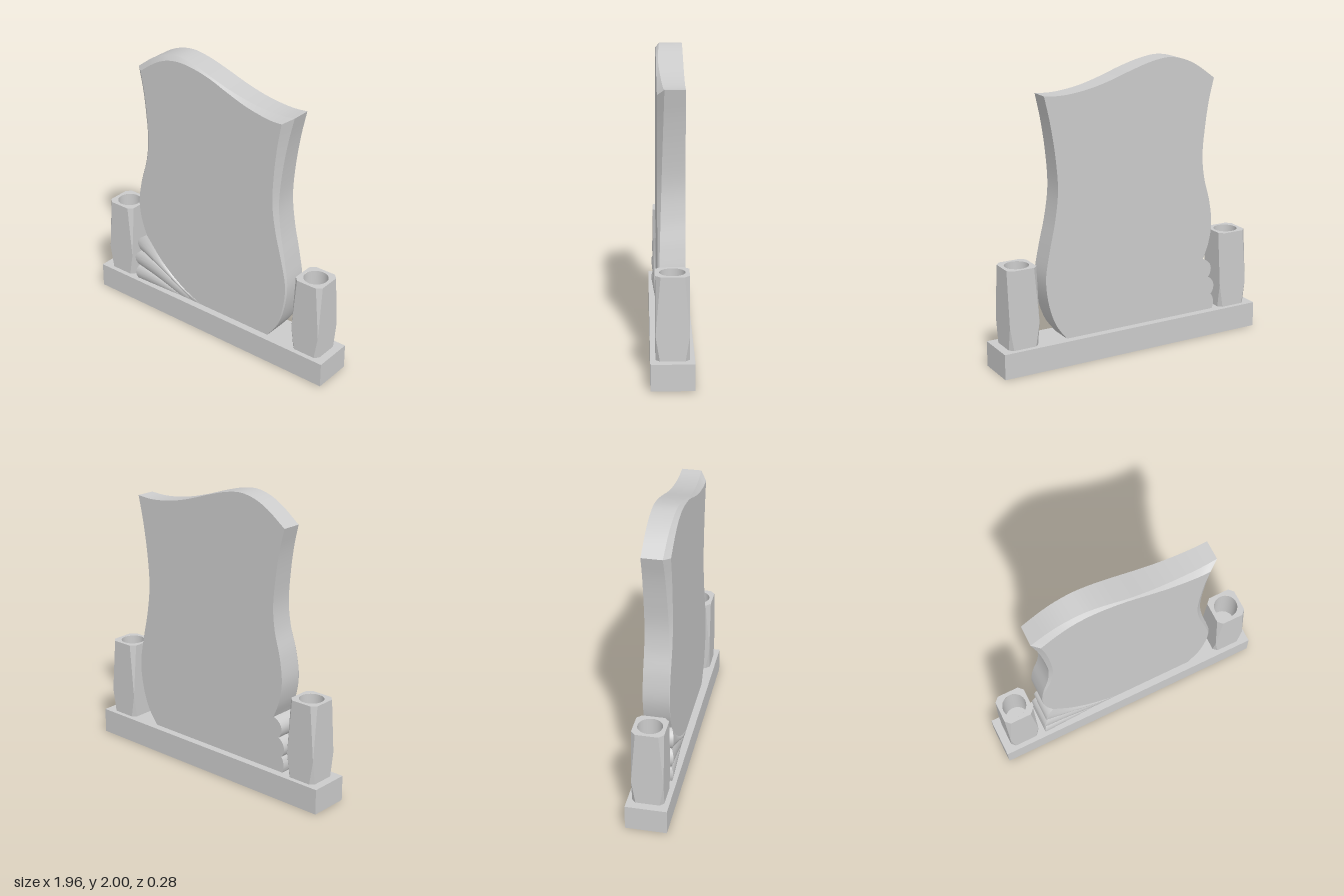
import * as THREE from 'three';
import { mergeGeometries, toCreasedNormals } from 'three/addons/utils/BufferGeometryUtils.js';

const stone = new THREE.MeshStandardMaterial({ color: 0xcccccc });
const stoneThin = new THREE.MeshStandardMaterial({ color: 0xcccccc, side: THREE.DoubleSide });
const V = (x, y, z) => new THREE.Vector3(x, y, z);

function addMesh(parent, name, geometry, material = stone) {
  const mesh = new THREE.Mesh(geometry, material);
  mesh.name = name;
  parent.add(mesh);
  return mesh;
}

// Skin a list of equally long rows of points
function loft(rows, closed) {
  const pos = [];
  const n = rows[0].length;
  for (let i = 0; i < rows.length - 1; i++) {
    for (let j = 0; j < (closed ? n : n - 1); j++) {
      const k = (j + 1) % n;
      const [a, b, c, d] = [rows[i][j], rows[i][k], rows[i + 1][k], rows[i + 1][j]];
      for (const p of [a, d, c, a, c, b]) pos.push(p.x, p.y, p.z);
    }
  }
  const g = new THREE.BufferGeometry();
  g.setAttribute('position', new THREE.Float32BufferAttribute(pos, 3));
  return g;
}

// Flat face filling an outline at depth z
function cap(points, z, facesBack) {
  const g = new THREE.ShapeGeometry(new THREE.Shape(points.map(p => new THREE.Vector2(p.x, p.y))));
  if (facesBack) g.index.array.reverse();
  g.translate(0, 0, z);
  const flat = g.toNonIndexed();
  flat.deleteAttribute('uv');
  flat.deleteAttribute('normal');
  return flat;
}

const spline = (pts, n) => new THREE.CatmullRomCurve3(pts.map(p => V(p[0], p[1], p[2] ?? FRONT))).getPoints(n);

const FRONT = 0.09, BACK = -0.088, BASE_TOP = 0.175;

// Seams between the flutes, lowest first, each running from the left rim to the foot
const seams = [
  [[-0.65, 0.165], [-0.53, 0.165], [-0.4, 0.165], [-0.3, 0.165]],
  [[-0.645, 0.285], [-0.5, 0.25], [-0.37, 0.21], [-0.25, 0.168]],
  [[-0.62, 0.415], [-0.45, 0.335], [-0.29, 0.245], [-0.15, 0.168]],
  [[-0.575, 0.55], [-0.43, 0.385], [-0.25, 0.25], [-0.07, 0.17]],
];
const seamLift = [0.008, 0.008, 0.008, 0];
const rimBulge = [0.02, 0.035, 0.045];
const ACROSS = 14, ALONG = 24;

// Cross-section of flute k at t (0 = rim, 1 = foot)
function fluteRow(k, t, lower, upper) {
  const row = [];
  const chord = upper.clone().sub(lower);
  const out = V(-chord.y, chord.x, 0).normalize();
  for (let j = 0; j <= ACROSS; j++) {
    const s = j / ACROSS;
    const arch = Math.pow(Math.max(0, Math.sin(Math.PI * s)), 0.7);
    const p = lower.clone().lerp(upper, s).addScaledVector(out, rimBulge[k] * arch * (1 - t) ** 3);
    p.z = FRONT + (1 - t) * (THREE.MathUtils.lerp(seamLift[k], seamLift[k + 1], s) + 0.021 * arch);
    row.push(p);
  }
  return row;
}

function buildFlutes() {
  const group = new THREE.Group();
  group.name = 'shellFlutes';
  const curves = seams.map(s => spline(s, ALONG));
  const rim = [];
  for (let k = 0; k < 3; k++) {
    const rows = [];
    for (let i = 0; i <= ALONG; i++) rows.push(fluteRow(k, i / ALONG, curves[k][i], curves[k + 1][i]));
    const foot = rows[0].map(p => V(p.x, p.y, FRONT));
    rim.push(...foot.slice(0, -1));
    addMesh(group, 'flute' + (k + 1), toCreasedNormals(loft([foot, ...rows]), 0.6), stoneThin);
  }
  return { group, rim };
}

function buildSlab(rim) {
  // Outer edge (x, y, z of the chamfer's rear line) and the inset edge of the front face
  const leftOuter = [[-0.575, 0.55, 0.09], [-0.617, 0.66, 0.088], [-0.64, 0.8, 0.085], [-0.62, 0.97, 0.08],
    [-0.575, 1.14, 0.074], [-0.558, 1.3, 0.069], [-0.575, 1.5, 0.062], [-0.603, 1.68, 0.056], [-0.64, 1.83, 0.05]];
  const leftInner = [[-0.575, 0.55], [-0.616, 0.66], [-0.637, 0.8], [-0.612, 0.97],
    [-0.56, 1.14], [-0.536, 1.3], [-0.543, 1.5], [-0.563, 1.68], [-0.59, 1.82]];
  const topOuter = [[-0.64, 1.83, 0.05], [-0.5, 1.93, 0.055], [-0.4, 1.977, 0.06], [-0.28, 2, 0.065],
    [-0.15, 1.983, 0.071], [0, 1.94, 0.077], [0.15, 1.89, 0.072], [0.3, 1.85, 0.063],
    [0.45, 1.827, 0.055], [0.55, 1.823, 0.05], [0.64, 1.83, 0.045]];
  const topInner = [[-0.59, 1.82], [-0.47, 1.905], [-0.37, 1.953], [-0.26, 1.973],
    [-0.14, 1.963], [0, 1.93], [0.14, 1.877], [0.28, 1.828],
    [0.42, 1.796], [0.5, 1.786], [0.575, 1.787]];
  const rightOuter = [[0.64, 1.83, 0.045], [0.6, 1.65, 0.05], [0.565, 1.42, 0.057], [0.551, 1.2, 0.063],
    [0.575, 1, 0.069], [0.618, 0.8, 0.075], [0.648, 0.61, 0.08], [0.625, 0.42, 0.083],
    [0.575, 0.28, 0.086], [0.5, BASE_TOP, 0.088]];
  const rightInner = [[0.575, 1.787], [0.547, 1.63], [0.523, 1.4], [0.518, 1.2],
    [0.548, 1], [0.6, 0.8], [0.637, 0.61], [0.617, 0.42], [0.571, 0.28], [0.498, BASE_TOP]];

  const chain = (l, t, r) => [...rim, ...spline(l, 36).slice(0, -1), ...spline(t, 40).slice(0, -1), ...spline(r, 40)];
  const outer = chain(leftOuter, topOuter, rightOuter);
  const inner = chain(leftInner, topInner, rightInner);
  const back = outer.map(p => V(p.x, p.y, BACK));
  const geometry = mergeGeometries([
    loft([back, outer, inner], true),
    cap(inner, FRONT, false),
    cap(back, BACK, true),
  ]);
  return toCreasedNormals(geometry, 0.35);
}

// Square vase whose corner bevels narrow to a point low on the body
function buildVase(name) {
  const group = new THREE.Group();
  group.name = name;
  const half = 0.107, top = 0.72, bore = 0.082, depth = 0.3;
  const ring = (y, cut) => {
    const h = half, c = half - cut;
    return [[h, c], [c, h], [-c, h], [-h, c], [-h, -c], [-c, -h], [c, -h], [h, -c]].map(([x, z]) => V(x, y, z));
  };
  const topRing = ring(top, 0.032);
  const body = loft([ring(BASE_TOP, 0.027), ring(0.34, 0), topRing], true);
  addMesh(group, 'vaseBody', toCreasedNormals(body, 0.05));

  const rimShape = new THREE.Shape(topRing.map(p => new THREE.Vector2(p.x, p.z)));
  rimShape.holes.push(new THREE.Path().absarc(0, 0, bore, 0, Math.PI * 2, true));
  addMesh(group, 'vaseRim', new THREE.ShapeGeometry(rimShape, 32).rotateX(-Math.PI / 2).translate(0, top, 0));

  const well = new THREE.CylinderGeometry(bore, bore, depth, 32, 1, true).translate(0, top - depth / 2, 0);
  addMesh(group, 'vaseWell', well, stoneThin);
  addMesh(group, 'vaseFloor', new THREE.CircleGeometry(bore, 32).rotateX(-Math.PI / 2).translate(0, top - depth, 0));
  return group;
}

export function createModel() {
  const model = new THREE.Group();
  model.name = 'memorialStone';

  addMesh(model, 'plinth', new THREE.BoxGeometry(1.96, BASE_TOP, 0.28).translate(0, BASE_TOP / 2, 0));

  const { group: flutes, rim } = buildFlutes();
  addMesh(model, 'slab', buildSlab(rim));
  model.add(flutes);

  for (const [name, side] of [['leftVase', 1], ['rightVase', -1]]) {
    const vase = buildVase(name);
    vase.position.x = 0.817 * side;
    model.add(vase);
  }
  return model;
}
